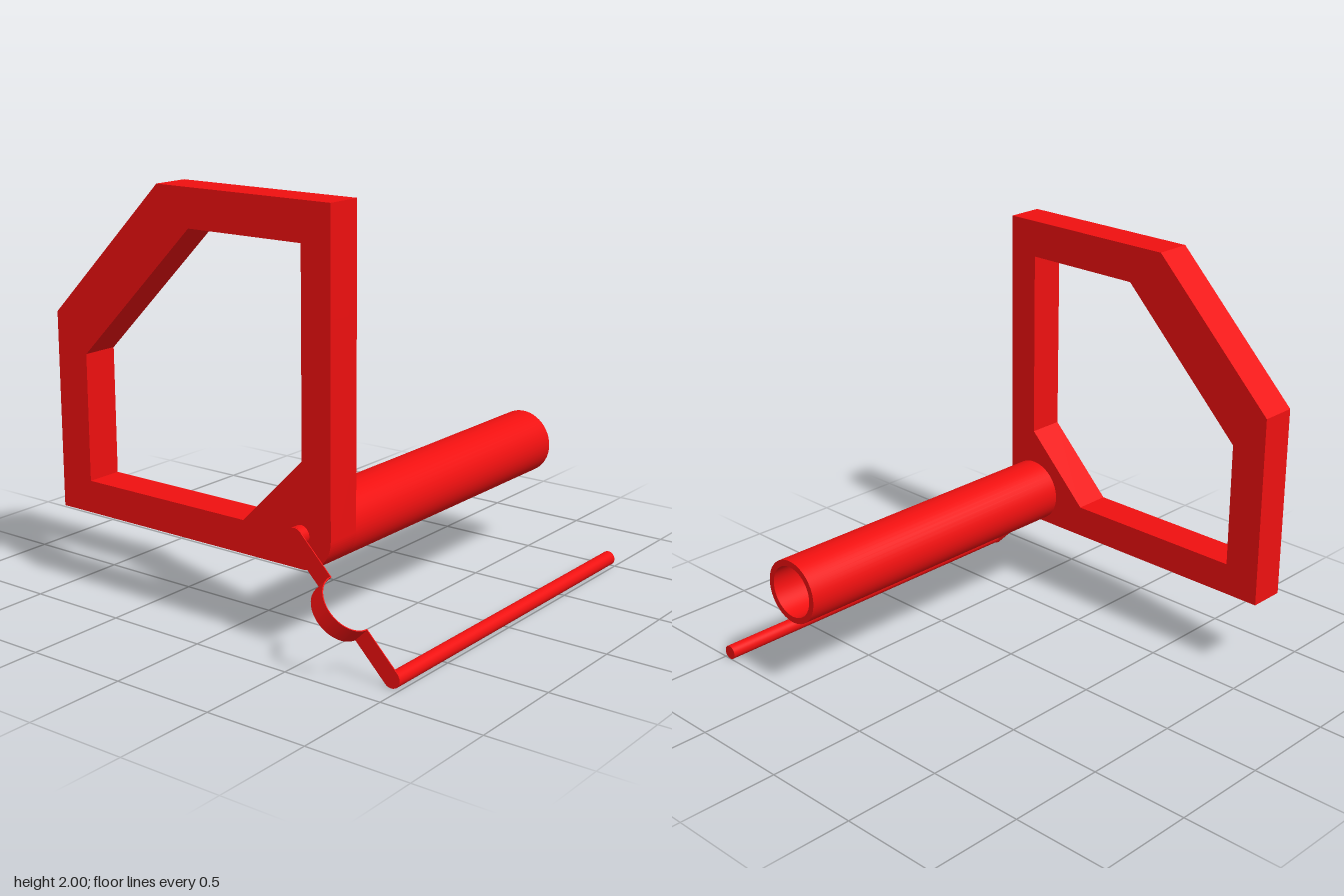
import * as THREE from 'three';
import { toCreasedNormals } from 'three/addons/utils/BufferGeometryUtils.js';

const red = new THREE.MeshStandardMaterial({ color: 0xf01010 });

function part(name, geometry, parent) {
  const mesh = new THREE.Mesh(geometry, red);
  mesh.name = name;
  parent.add(mesh);
  return mesh;
}

// Extrude a shape from z0 to z1 with sharp rims and smooth curved walls
function slab(shape, z0, z1, curveSegments = 24) {
  const g = new THREE.ExtrudeGeometry(shape, { depth: z1 - z0, bevelEnabled: false, curveSegments });
  return toCreasedNormals(g.translate(0, 0, z0), 0.6);
}

// Round bar along z
function bar(name, x, y, r, z0, z1, parent) {
  const g = new THREE.CylinderGeometry(r, r, z1 - z0, 32).rotateX(Math.PI / 2);
  part(name, g, parent).position.set(x, y, (z0 + z1) / 2);
}

const points = list => list.map(([x, y]) => new THREE.Vector2(x, y));

export function createModel() {
  const model = new THREE.Group();
  model.name = 'framedHandle';

  // Flat frame with a chamfered corner, a rounded corner and a gusset
  const cx = 0.447, cy = 0.557, tubeR = 0.158;
  const frame = new THREE.Shape(points([[cx, cy - tubeR], [-1, cy - tubeR], [-1, 1.35], [-0.35, 2], [cx + tubeR, 2], [cx + tubeR, cy]]));
  frame.absarc(cx, cy, tubeR, 0, -Math.PI / 2, true);
  frame.holes.push(new THREE.Path(points([[-0.82, 0.555], [0.12, 0.555], [0.45, 0.885], [0.45, 1.82], [-0.17, 1.82], [-0.82, 1.17]])));
  part('frame', slab(frame, 0.635, 0.815), model);

  // Hollow tube running back from the rounded corner
  const ring = new THREE.Shape().absarc(0, 0, tubeR, 0, Math.PI * 2);
  ring.holes.push(new THREE.Path().absarc(0, 0, 0.128, 0, Math.PI * 2, true));
  part('tube', slab(ring, -1, 0.635), model).position.set(cx, cy, 0);

  // Pin that holds the strip, and the thin rod at its far end
  const stripZ = 0.858, thick = 0.005, half = 0.043;
  bar('pin', 0.445, 0.555, 0.045, 0.815, stripZ, model);
  bar('rod', 0.963, 0.037, 0.035, -1, stripZ, model);

  // Thin diagonal strip with a half-round bow in the middle
  const strip = new THREE.Group();
  strip.name = 'spring';
  strip.position.set(0.705, 0.297, stripZ);
  strip.rotation.z = -Math.PI / 4;
  model.add(strip);

  const start = -0.367, end = 0.357, bowR = 0.137;
  const profile = new THREE.Shape();
  profile.moveTo(start, 0);
  profile.lineTo(thick - bowR, 0);
  profile.absarc(0, 0, bowR - thick, Math.PI, 0, true);
  profile.lineTo(end, 0);
  profile.lineTo(end, thick);
  profile.lineTo(bowR, thick);
  profile.absarc(0, 0, bowR, 0.037, Math.PI - 0.037, false);
  profile.lineTo(start, thick);
  part('bowedStrip', slab(profile, -half, half, 16).rotateX(Math.PI / 2), strip);

  // Rounded strip ends
  for (const [name, s, angle] of [['upperEnd', start, Math.PI], ['lowerEnd', end, 0]]) {
    const g = new THREE.CylinderGeometry(half, half, thick, 16, 1, false, angle, Math.PI);
    part(name, g.rotateX(Math.PI / 2), strip).position.set(s, 0, thick / 2);
  }
  return model;
}
